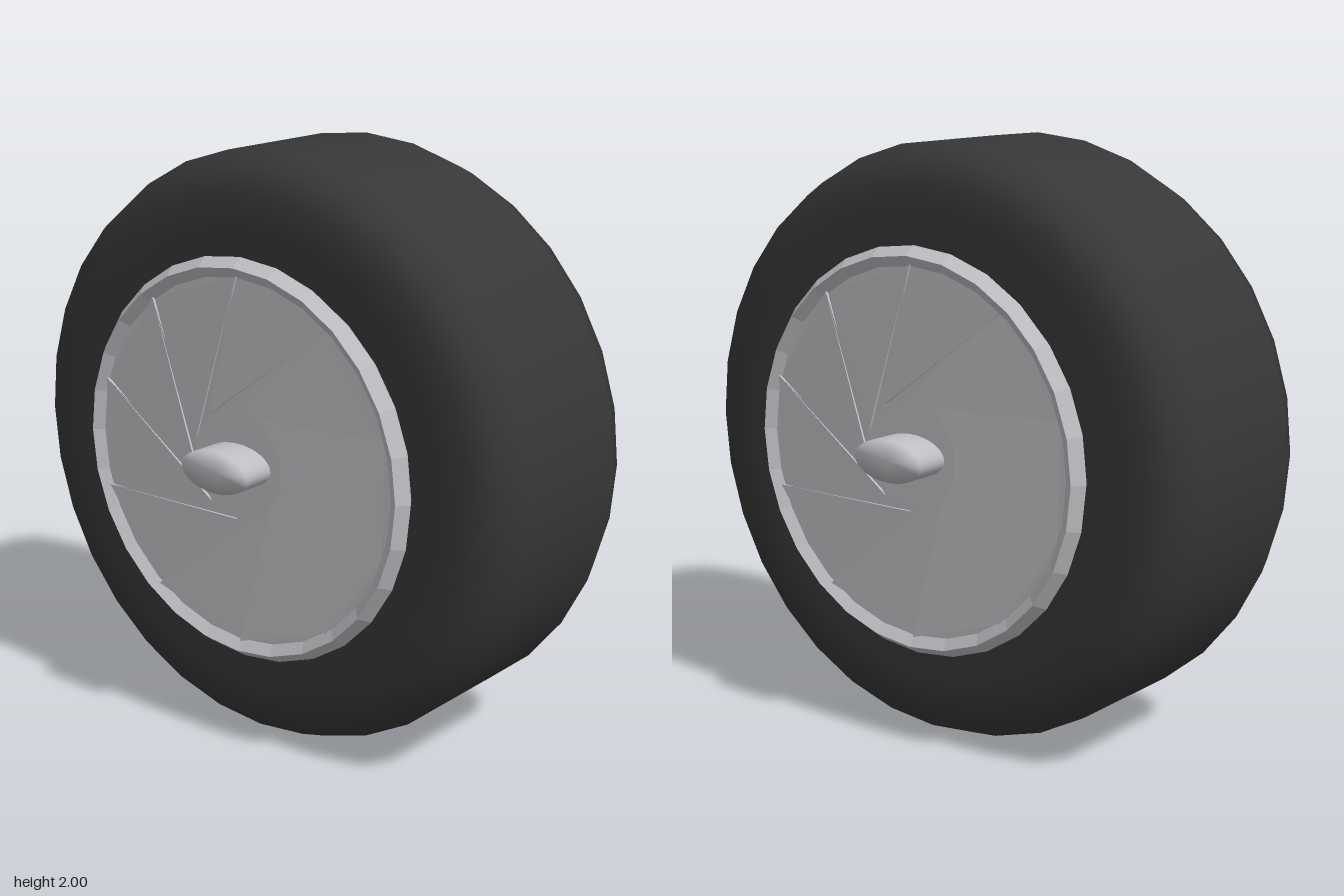
import * as THREE from 'three';
import { mergeVertices } from 'three/addons/utils/BufferGeometryUtils.js';

const rubber = new THREE.MeshStandardMaterial({ color: 0x373737 });
rubber.name = 'rubber';
const silver = new THREE.MeshStandardMaterial({ color: 0xc1c2c6 });
silver.name = 'silver';

function addMesh(parent, name, geometry, material) {
  const mesh = new THREE.Mesh(geometry, material);
  mesh.name = name;
  parent.add(mesh);
  return mesh;
}

// Revolves [axial position, radius] pairs around the x axis
function revolve(profile, segments) {
  const points = profile.map(([x, r]) => new THREE.Vector2(r, x));
  return new THREE.LatheGeometry(points, segments).rotateZ(-Math.PI / 2);
}

function faceted(geometry) {
  const flat = geometry.toNonIndexed();
  flat.computeVertexNormals();
  return flat;
}

// Ten shallow overlapping blades that swirl around the hub
function bladeGeometry() {
  const low = 0.425, high = 0.435, positions = [];
  const point = (r, degrees, x) => {
    const a = THREE.MathUtils.degToRad(degrees);
    return [x, r * Math.sin(a), -r * Math.cos(a)];
  };
  const quad = (a, b, c, d) => positions.push(...a, ...b, ...c, ...a, ...c, ...d);
  for (let k = 0; k < 10; k++) {
    const a = 18 + 36 * k;
    const outer = (deg, x) => point(0.62, deg, x);
    const inner = (deg, x) => point(0.19, deg + 72, x);
    quad(outer(a, high), outer(a + 36, low), inner(a + 36, low), inner(a, high));
    quad(outer(a, low), outer(a, high), inner(a, high), inner(a, low));
  }
  const geometry = new THREE.BufferGeometry();
  geometry.setAttribute('position', new THREE.Float32BufferAttribute(positions, 3));
  geometry.computeVertexNormals();
  return geometry;
}

// Oval hub with softly shaded ends
function hubGeometry() {
  const geometry = new THREE.CylinderGeometry(1, 1, 0.15, 32).rotateZ(-Math.PI / 2);
  geometry.scale(1, 0.07, 0.14).translate(0.475, 0, 0);
  geometry.deleteAttribute('uv');
  geometry.deleteAttribute('normal');
  const welded = mergeVertices(geometry);
  welded.computeVertexNormals();
  return welded;
}

function createSide(name) {
  const side = new THREE.Group();
  side.name = name;
  const rim = [[0.36, 0.645], [0.41, 0.68], [0.45, 0.65], [0.425, 0.615]];
  addMesh(side, 'rimRing', faceted(revolve(rim, 28)), silver);
  const backing = new THREE.CircleGeometry(0.63, 28).rotateY(Math.PI / 2);
  addMesh(side, 'rimBacking', backing.translate(0.424, 0, 0), silver);
  addMesh(side, 'rimBlades', bladeGeometry(), silver);
  const plate = new THREE.CircleGeometry(0.19, 10, Math.PI / 10).rotateY(Math.PI / 2);
  addMesh(side, 'hubPlate', plate.translate(0.435, 0, 0), silver);
  addMesh(side, 'hub', hubGeometry(), silver);
  return side;
}

export function createModel() {
  const model = new THREE.Group();
  model.name = 'wheel';

  // Tyre: flat tread, two-step shoulders and flat sidewalls
  const half = [[0.37, 0.58], [0.37, 0.78], [0.37, 0.87], [0.335, 0.96], [0.24, 1]];
  const profile = [...half.map(([x, r]) => [-x, r]), ...half.slice().reverse()];
  addMesh(model, 'tyre', revolve(profile, 32), rubber);

  // The same rim on both sides, turned half way round
  model.add(createSide('leftRim'));
  const right = createSide('rightRim');
  right.rotation.y = Math.PI;
  model.add(right);

  model.children.forEach((part) => { part.position.y = 1; });
  return model;
}
